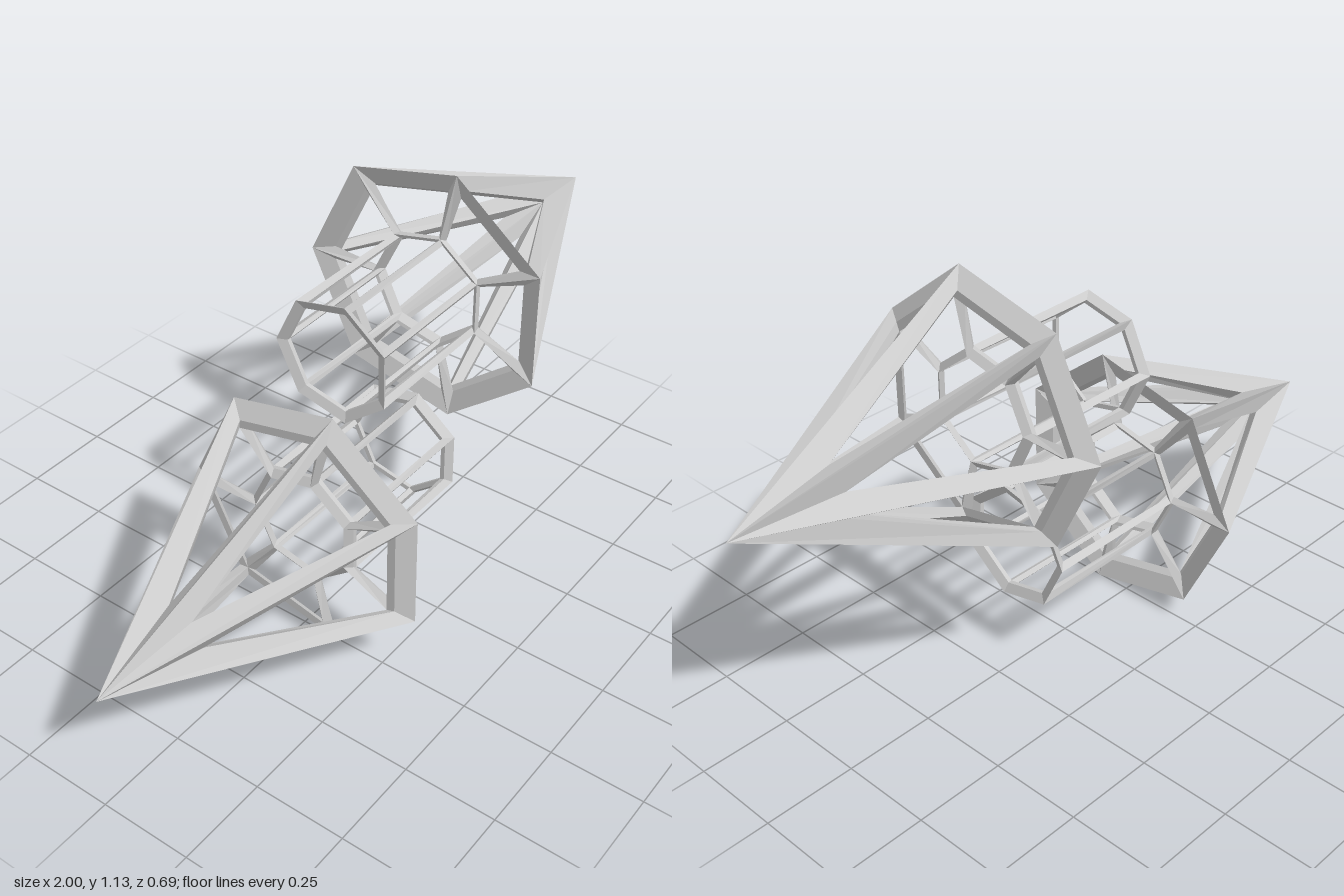
import * as THREE from 'three';

const SIDES = 7;
const THICKNESS = 0.052; // strut half-thickness relative to the mean edge length

// Turns a closed polygon cage into solid struts: every edge becomes a four-sided bar.
// faceGroups: { partName: [[corner indices], ...] }
function strutFrame(points, faceGroups, material) {
  const faces = Object.values(faceGroups).flat();
  const info = points.map(() => ({ corners: [], length: 0, normal: new THREE.Vector3() }));

  // Collect corner angles, face normals and edge lengths around each vertex
  for (const face of faces) {
    const n = face.length;
    face.forEach((v, i) => {
      const next = points[face[(i + 1) % n]].clone().sub(points[v]);
      const prev = points[face[(i + n - 1) % n]].clone().sub(points[v]);
      const normal = next.clone().cross(prev).normalize();
      const angle = next.angleTo(prev);
      info[v].corners.push({ normal, angle });
      info[v].normal.addScaledVector(normal, angle);
      info[v].length += next.length();
    });
  }

  // Outer and inner ridge point of each vertex
  const ridges = points.map((p, v) => {
    const { corners, length, normal } = info[v];
    normal.normalize();
    const half = THICKNESS * length / corners.length;
    let total = 0, weight = 0;
    for (const c of corners) {
      total += c.angle / Math.max(0.2, c.normal.dot(normal));
      weight += c.angle;
    }
    const shift = half * total / weight;
    return {
      half,
      outer: p.clone().addScaledVector(normal, shift),
      inner: p.clone().addScaledVector(normal, -shift),
    };
  });

  const group = new THREE.Group();
  for (const [name, list] of Object.entries(faceGroups)) {
    const positions = [];
    const quad = (a, b, c, d) => {
      for (const p of [a, b, c, a, c, d]) positions.push(p.x, p.y, p.z);
    };
    for (const face of list) {
      const n = face.length;
      // Corners of the opening in this face
      const hole = face.map((v, i) => {
        const next = points[face[(i + 1) % n]].clone().sub(points[v]).normalize();
        const prev = points[face[(i + n - 1) % n]].clone().sub(points[v]).normalize();
        const reach = ridges[v].half / Math.sin(next.angleTo(prev) / 2);
        return points[v].clone().addScaledVector(next.add(prev).normalize(), reach);
      });
      face.forEach((v, i) => {
        const j = (i + 1) % n;
        const a = ridges[v], b = ridges[face[j]];
        quad(a.outer, b.outer, hole[j], hole[i]);
        quad(a.inner, hole[i], hole[j], b.inner);
      });
    }
    const geometry = new THREE.BufferGeometry();
    geometry.setAttribute('position', new THREE.Float32BufferAttribute(positions, 3));
    geometry.computeVertexNormals();
    const mesh = new THREE.Mesh(geometry, material);
    mesh.name = name;
    group.add(mesh);
  }
  return group;
}

// Arrow along +x: heptagonal cone head and a narrower heptagonal shaft ending at endX
function arrow(name, endX, material) {
  const points = [new THREE.Vector3(0.908, 0, 0)];
  const addRing = (x, radius) => {
    const first = points.length;
    for (let i = 0; i < SIDES; i++) {
      const t = (i / SIDES) * Math.PI * 2;
      points.push(new THREE.Vector3(x, radius * Math.sin(t), -radius * Math.cos(t)));
    }
    return (i) => first + (i % SIDES);
  };
  const rim = addRing(0.263, 0.328);
  const neck = addRing(0.263, 0.156);
  const end = addRing(endX, 0.156);

  const parts = { arrowHead: [], headBase: [], shaft: [], shaftEnd: [[]] };
  for (let i = 0; i < SIDES; i++) {
    parts.arrowHead.push([0, rim(i), rim(i + 1)]);
    parts.headBase.push([rim(i + 1), rim(i), neck(i), neck(i + 1)]);
    parts.shaft.push([neck(i + 1), neck(i), end(i), end(i + 1)]);
    parts.shaftEnd[0].unshift(end(i));
  }
  const group = strutFrame(points, parts, material);
  group.name = name;
  return group;
}

export function createModel() {
  const model = new THREE.Group();
  model.name = 'arrowPair';
  const material = new THREE.MeshStandardMaterial({ color: 0xcccccc, flatShading: true });

  // Upper arrow points to +x
  const upper = arrow('upperArrow', -0.133, material);
  upper.position.set(0, 0.781, 0.018);

  // Lower arrow points to -x
  const lower = arrow('lowerArrow', -0.16, material);
  lower.rotation.z = Math.PI;
  lower.position.set(0, 0.356, 0.018);

  model.add(upper, lower);
  return model;
}
